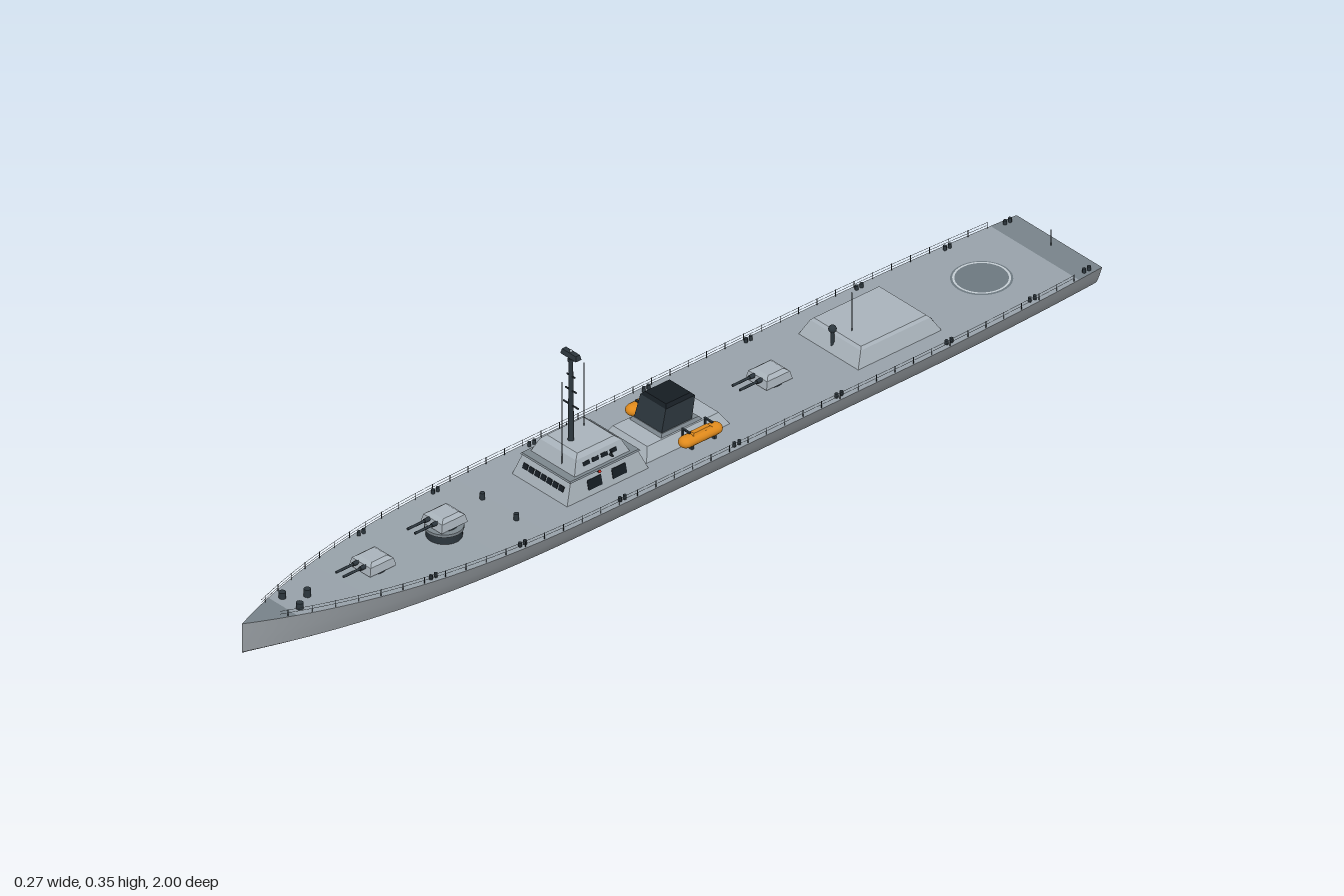
import * as THREE from 'three';

const mat = (color, side = THREE.FrontSide) => new THREE.MeshStandardMaterial({ color, side });
const M = {
  hull: mat(0x969ca1), keel: mat(0x1a1e23), deck: mat(0x98a2aa), plate: mat(0x78838a),
  house: mat(0xa9b3bb), trim: mat(0x7d878e), dark: mat(0x2c363d), glass: mat(0x151c22),
  orange: mat(0xe08a1c), pad: mat(0x6d7880, THREE.DoubleSide), mark: mat(0xc4ccd2, THREE.DoubleSide),
  transom: mat(0x3a454d, THREE.DoubleSide), red: mat(0xd03020), green: mat(0x20b060),
};

// Hull lines: half beam, deck height and keel height along z
const WATER = 0.035;
const beam = z => z > 0.2 ? 0.136 * (1 - ((z - 0.2) / 0.8) ** 2.6)
  : 0.136 - 0.018 * Math.max(0, (-0.5 - z) / 0.5) ** 2;
const deckY = z => 0.076 + 0.02 * Math.max(0, (z - 0.2) / 0.8) ** 2;
const keelY = z => 0.033 * Math.max(0, (z - 0.3) / 0.7) ** 2 + 0.028 * Math.max(0, (-0.4 - z) / 0.6) ** 2;
const bottomPoint = (z, s) => [beam(z) * 0.86 * s, keelY(z) + (WATER - keelY(z)) * Math.abs(s) ** 2.5, z];

// Grid surface from a rule fn(z, v), v running 0..1 across
function skin(fn, z0, z1, nz, nv) {
  const pos = [], idx = [];
  for (let i = 0; i <= nz; i++) for (let j = 0; j <= nv; j++) pos.push(...fn(z0 + (z1 - z0) * i / nz, j / nv));
  for (let i = 0; i < nz; i++) for (let j = 0; j < nv; j++) {
    const a = i * (nv + 1) + j, b = a + nv + 1;
    idx.push(a, b, a + 1, b, b + 1, a + 1);
  }
  const g = new THREE.BufferGeometry();
  g.setAttribute('position', new THREE.Float32BufferAttribute(pos, 3));
  g.setIndex(idx);
  g.computeVertexNormals();
  return g;
}

// Box standing on y = 0 whose top is narrower and may lean along z
function taper(w, h, l, topW, topL, lean = 0) {
  const g = new THREE.BoxGeometry(w, h, l).translate(0, h / 2, 0), p = g.attributes.position;
  for (let i = 0; i < p.count; i++) if (p.getY(i) > h / 2) {
    p.setX(i, p.getX(i) * topW / w);
    p.setZ(i, p.getZ(i) * topL / l + lean);
  }
  g.computeVertexNormals();
  return g;
}

export function createModel() {
  const ship = new THREE.Group();
  ship.name = 'warship';
  const add = (name, geo, m, x = 0, y = 0, z = 0, parent = ship) => {
    const mesh = new THREE.Mesh(geo, m);
    mesh.name = name;
    mesh.position.set(x, y, z);
    parent.add(mesh);
    return mesh;
  };
  const box = (w, h, l) => new THREE.BoxGeometry(w, h, l);
  const rod = (r, h, n = 8) => new THREE.CylinderGeometry(r, r, h, n).translate(0, h / 2, 0);

  // Hull
  add('hullBottom', skin((z, v) => bottomPoint(z, 1 - 2 * v), -1, 1, 80, 24), M.keel);
  for (const s of [1, -1]) {
    const side = (z, v) => {
      const t = s > 0 ? 1 - v : v;
      return [s * beam(z) * (0.86 + 0.14 * t ** 0.8), WATER + (deckY(z) - WATER) * t, z];
    };
    add('hullSide', skin(side, -1, 1, 80, 4), M.hull);
  }
  const deck = (z, v) => [beam(z) * (2 * v - 1), deckY(z), z];
  add('sternDeck', skin(deck, -1, -0.94, 3, 1), M.plate);
  add('mainDeck', skin(deck, -0.94, 0.9, 70, 1), M.deck);
  add('bowDeck', skin(deck, 0.9, 1, 10, 1), M.plate);
  const stern = new THREE.Shape();
  stern.moveTo(-beam(-1), deckY(-1));
  for (let i = 0; i <= 20; i++) stern.lineTo(...bottomPoint(-1, i / 10 - 1).slice(0, 2));
  stern.lineTo(beam(-1), deckY(-1));
  add('transom', new THREE.ShapeGeometry(stern), M.transom, 0, 0, -1);

  // Railings and mooring bitts along both deck edges
  for (const s of [1, -1]) {
    for (const h of [0.007, 0.013]) {
      const pts = [];
      for (let z = -0.93; z < 0.96; z += 0.06) pts.push(new THREE.Vector3(s * (beam(z) - 0.003), deckY(z) + h, z));
      add('railWire', new THREE.TubeGeometry(new THREE.CatmullRomCurve3(pts), 90, 0.0005, 4), M.trim);
    }
    for (let z = -0.93; z < 0.96; z += 0.045)
      add('railPost', rod(0.0008, 0.014, 5), M.dark, s * (beam(z) - 0.003), deckY(z), z);
    for (const z of [-0.97, -0.83, -0.62, -0.35, -0.1, 0.18, 0.42, 0.62])
      for (const dz of [-0.006, 0.006])
        add('bitt', rod(0.0035, 0.009, 10), M.dark, s * (beam(z) - 0.011), deckY(z), z + dz);
    add('deckVent', rod(0.005, 0.014, 10), M.dark, s * 0.047, deckY(0.37), 0.37);
    add('anchorWinch', rod(0.007, 0.013, 12), M.dark, s * 0.024, deckY(0.88), 0.88);
  }
  add('capstan', rod(0.007, 0.016, 12), M.dark, 0, deckY(0.84), 0.84);
  add('sternStaff', rod(0.001, 0.034, 6), M.dark, 0, 0.076, -0.98);

  // Landing pad
  add('landingPad', new THREE.CircleGeometry(0.058, 40).rotateX(-Math.PI / 2), M.pad, 0, 0.0768, -0.81);
  add('landingRing', new THREE.RingGeometry(0.05, 0.054, 40).rotateX(-Math.PI / 2), M.mark, 0, 0.0776, -0.81);

  // Aft hangar with dark door, whip and small director
  add('hangar', taper(0.165, 0.03, 0.205, 0.14, 0.17), M.house, 0, 0.075, -0.537);
  add('hangarRoof', taper(0.14, 0.005, 0.17, 0.13, 0.16), M.house, 0, 0.105, -0.537);
  const door = add('hangarDoor', box(0.135, 0.022, 0.002), M.dark, 0, 0.09, -0.632);
  door.rotation.x = Math.atan(0.0175 / 0.03);
  add('hangarWhip', rod(0.0008, 0.085, 6), M.dark, 0.014, 0.108, -0.48);
  add('directorPost', rod(0.004, 0.04, 10), M.dark, 0, 0.08, -0.445);
  add('directorHead', new THREE.SphereGeometry(0.008, 14, 10), M.dark, 0, 0.122, -0.445);

  // Twin gun turrets
  const gun = (z, lift) => {
    const g = new THREE.Group();
    g.name = 'gunTurret';
    g.position.set(0, deckY(z) + lift, z);
    ship.add(g);
    add('gunRing', rod(0.026, 0.006, 24), M.dark, 0, 0, 0, g);
    add('gunHouse', taper(0.058, 0.016, 0.064, 0.052, 0.056), M.house, 0, 0.005, 0, g);
    add('gunRoof', taper(0.052, 0.006, 0.056, 0.036, 0.038), M.house, 0, 0.021, 0, g);
    for (const x of [-0.01, 0.01]) {
      add('barrel', rod(0.0026, 0.055, 10).rotateX(Math.PI / 2), M.dark, x, 0.018, 0.026, g);
      add('barrelSleeve', rod(0.0042, 0.014, 10).rotateX(Math.PI / 2), M.dark, x, 0.018, 0.026, g);
    }
  };
  gun(0.68, 0);
  gun(0.505, 0.024);
  gun(-0.29, 0);
  add('barbette', rod(0.034, 0.017, 28), M.dark, 0, deckY(0.505), 0.505);
  add('barbetteCap', rod(0.037, 0.006, 28), M.trim, 0, deckY(0.505) + 0.017, 0.505);

  // Bridge: two sloped tiers with windows
  add('bridgeLower', taper(0.152, 0.042, 0.2, 0.132, 0.165), M.house, 0, 0.075, 0.172);
  add('bridgeLowerRoof', taper(0.138, 0.003, 0.172, 0.134, 0.168), M.trim, 0, 0.117, 0.172);
  add('bridgeUpper', taper(0.12, 0.026, 0.135, 0.1, 0.11), M.house, 0, 0.12, 0.172);
  add('bridgeUpperRoof', taper(0.1, 0.008, 0.11, 0.084, 0.09), M.house, 0, 0.146, 0.172);
  for (let i = -3; i <= 3; i++) {
    const w = add('frontWindow', box(0.013, 0.011, 0.002), M.glass, i * 0.0165, 0.1, 0.2622);
    w.rotation.x = -Math.atan(0.0175 / 0.042);
  }
  for (const s of [1, -1]) {
    for (const z of [0.14, 0.2]) {
      const w = add('sideWindow', box(0.002, 0.02, 0.034), M.glass, s * 0.0708, 0.097, z);
      w.rotation.z = s * Math.atan(0.01 / 0.042);
    }
    for (let i = 0; i < 4; i++) {
      const w = add('upperWindow', box(0.002, 0.008, 0.016), M.glass, s * 0.0545, 0.134, 0.14 + i * 0.022);
      w.rotation.z = s * Math.atan(0.01 / 0.026);
    }
    add('lampPost', rod(0.001, 0.012, 6), M.dark, s * 0.063, 0.129, 0.15);
    add('lampBracket', box(0.012, 0.002, 0.004), M.dark, s * 0.06, 0.13, 0.15);
    add('navigationLight', new THREE.SphereGeometry(0.003, 10, 8), s > 0 ? M.red : M.green, s * 0.074, 0.118, 0.19);
    add('navigationArm', box(0.012, 0.002, 0.003), M.dark, s * 0.069, 0.116, 0.19);
  }

  // Mast with yards, radar and whips
  add('mast', new THREE.CylinderGeometry(0.004, 0.006, 0.185, 12), M.dark, 0, 0.2425, 0.195);
  for (const [y, w] of [[0.23, 0.042], [0.262, 0.03], [0.293, 0.022]])
    add('yard', box(w, 0.0025, 0.0025), M.dark, 0, y, 0.195);
  add('mastCollar', rod(0.006, 0.006, 12), M.dark, 0, 0.325, 0.195);
  add('radar', taper(0.043, 0.01, 0.014, 0.038, 0.01), M.dark, 0, 0.335, 0.195);
  add('mastLight', new THREE.SphereGeometry(0.003, 10, 8), M.house, 0, 0.347, 0.195);
  add('whipLeft', rod(0.001, 0.185, 6), M.dark, 0.02, 0.12, 0.235);
  add('whipRight', rod(0.001, 0.17, 6), M.dark, -0.02, 0.12, 0.145);

  // Funnel house, leaning funnel and lifeboats
  add('funnelHouse', taper(0.125, 0.025, 0.205, 0.095, 0.175), M.house, 0, 0.075, -0.037);
  add('funnelBase', taper(0.088, 0.006, 0.1, 0.08, 0.09), M.trim, 0, 0.1, -0.037);
  add('funnel', taper(0.076, 0.046, 0.074, 0.07, 0.072, -0.012), M.dark, 0, 0.105, -0.03);
  add('funnelCap', taper(0.07, 0.006, 0.072, 0.058, 0.06), M.glass, 0, 0.151, -0.042);
  for (const s of [1, -1]) {
    const boat = new THREE.CapsuleGeometry(0.015, 0.07, 8, 18).rotateX(Math.PI / 2).scale(1, 0.75, 1);
    add('lifeboat', boat, M.orange, s * 0.073, 0.092, -0.057);
    add('lifeboatCanopy', taper(0.016, 0.005, 0.05, 0.01, 0.04), M.orange, s * 0.073, 0.101, -0.057);
    for (const z of [-0.085, -0.03]) {
      add('davit', box(0.003, 0.034, 0.004), M.dark, s * 0.055, 0.092, z);
      add('davitArm', box(0.022, 0.003, 0.004), M.dark, s * 0.064, 0.108, z);
      add('boatCradle', box(0.02, 0.009, 0.005), M.dark, s * 0.073, 0.079, z);
    }
  }
  return ship;
}
